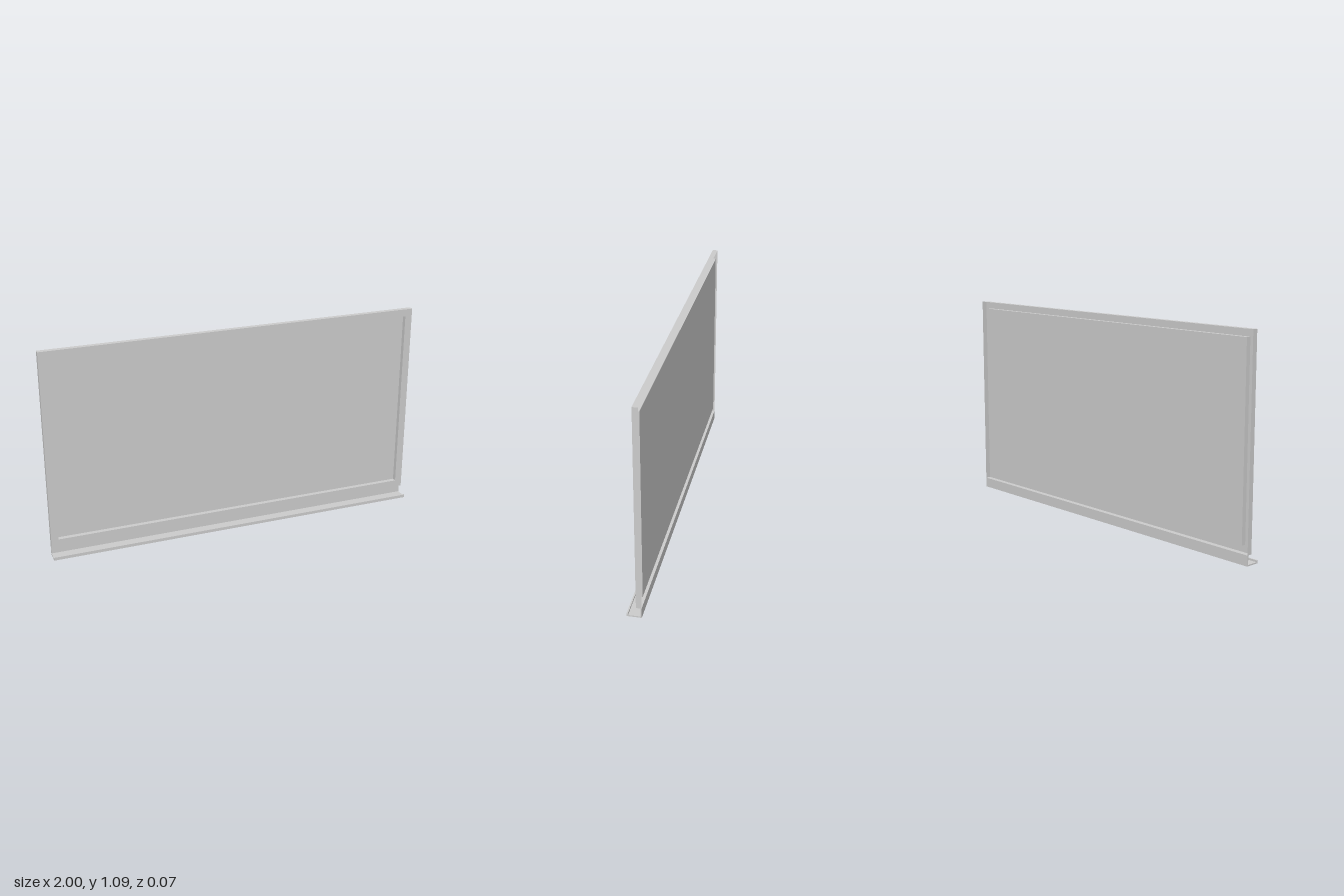
import * as THREE from 'three';

const material = new THREE.MeshStandardMaterial({ color: 0xcccccc, side: THREE.DoubleSide, flatShading: true });

// Depths of the sheet-metal frame and its bottom and top edges
const FRONT = -0.009, BACK = -0.036, PANEL = -0.033;
const BOTTOM = 0.053, TOP = 1.092, BORDER = 0.038;
const MID = (BOTTOM + TOP) / 2;

function addMesh(parent, name, geometry) {
  const mesh = new THREE.Mesh(geometry, material);
  mesh.name = name;
  parent.add(mesh);
  return mesh;
}

// Four thin walls around a rectangle, running from zFront back to zBack
function addWalls(parent, name, width, height, zFront, zBack) {
  const walls = new THREE.Group();
  walls.name = name;
  const depth = zFront - zBack, z = (zFront + zBack) / 2;
  for (const s of [-1, 1]) {
    const side = addMesh(walls, s > 0 ? 'leftWall' : 'rightWall',
      new THREE.PlaneGeometry(depth, height).rotateY(s * Math.PI / 2));
    side.position.set(s * width / 2, MID, z);
    const cap = addMesh(walls, s > 0 ? 'topWall' : 'bottomWall',
      new THREE.PlaneGeometry(width, depth).rotateX(-s * Math.PI / 2));
    cap.position.set(0, MID + s * height / 2, z);
  }
  parent.add(walls);
}

function rectangle(path, w, h) {
  path.moveTo(-w / 2, -h / 2);
  path.lineTo(w / 2, -h / 2);
  path.lineTo(w / 2, h / 2);
  path.lineTo(-w / 2, h / 2);
  path.closePath();
  return path;
}

export function createModel() {
  const board = new THREE.Group();
  board.name = 'wallBoard';
  const W = 2, H = TOP - BOTTOM;
  const w = W - 2 * BORDER, h = H - 2 * BORDER;

  // Front border, open in the middle
  const border = rectangle(new THREE.Shape(), W, H);
  border.holes.push(rectangle(new THREE.Path(), w, h));
  addMesh(board, 'frameBorder', new THREE.ShapeGeometry(border)).position.set(0, MID, FRONT);

  // Outer rim folded back, inner rim folded back to the recessed panel
  addWalls(board, 'outerRim', W, H, FRONT, BACK);
  addWalls(board, 'innerRim', w, h, FRONT, PANEL);
  addMesh(board, 'writingPanel', new THREE.PlaneGeometry(w, h)).position.set(0, MID, PANEL);

  // Pen tray: back plate, shelf and front lip, as one profile of (z, y)
  const profile = [[-0.036, 0], [0.036, 0], [0.036, 0.016], [0.029, 0.016],
    [0.029, 0.007], [-0.03, 0.007], [-0.03, BOTTOM], [-0.036, BOTTOM]];
  const tray = new THREE.Shape(profile.map(([z, y]) => new THREE.Vector2(-z, y)));
  const trayGeometry = new THREE.ExtrudeGeometry(tray, { depth: W, bevelEnabled: false });
  trayGeometry.translate(0, 0, -W / 2).rotateY(Math.PI / 2);
  addMesh(board, 'penTray', trayGeometry);

  return board;
}
